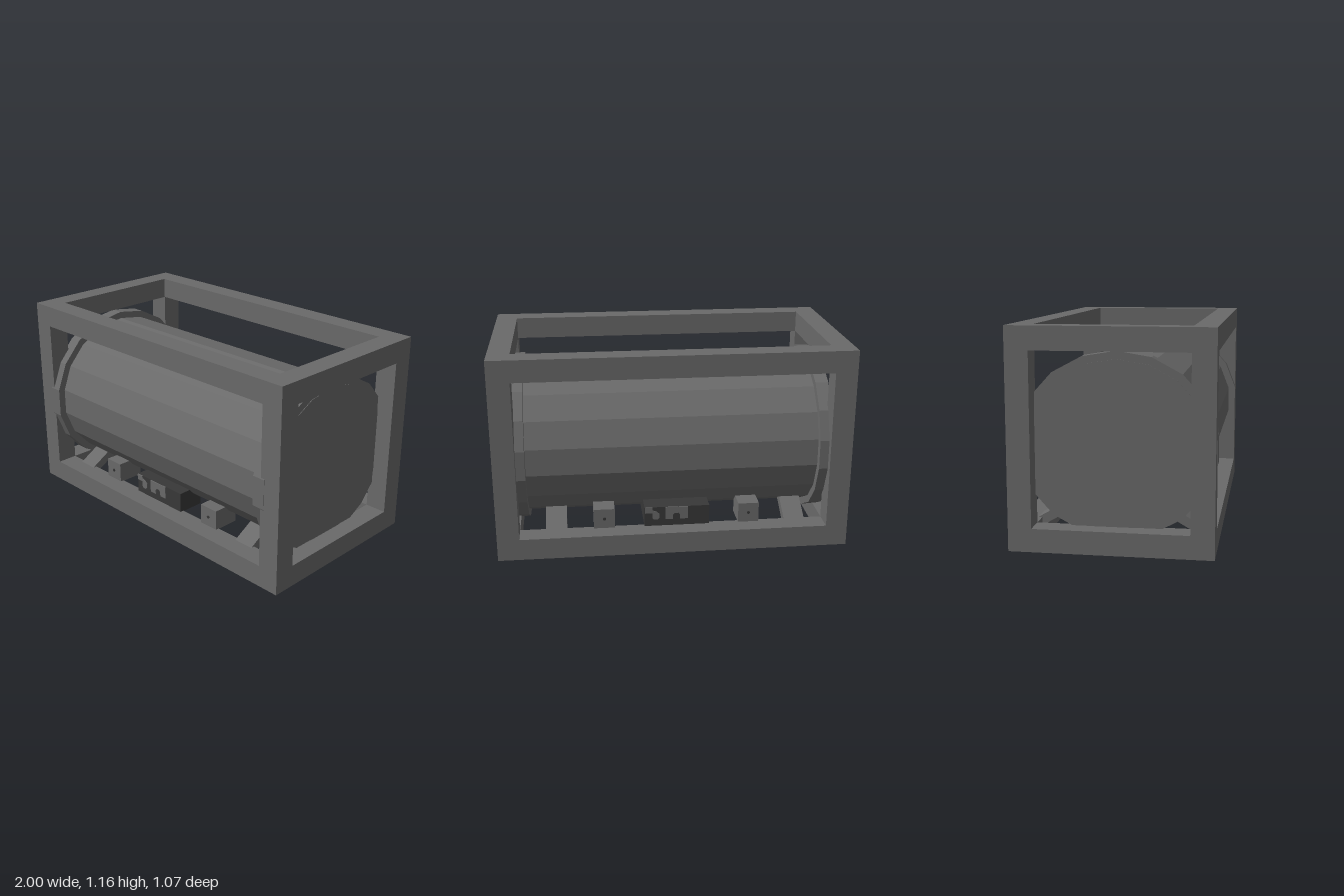
import * as THREE from 'three';

export function createModel() {
  const model = new THREE.Group();
  model.name = 'framedTank';
  const grey = new THREE.MeshStandardMaterial({ color: 0x6a6a6a });
  grey.name = 'steelGrey';
  const dark = new THREE.MeshStandardMaterial({ color: 0x383838 });
  dark.name = 'darkGrey';

  const add = (parent, name, geometry, material, x = 0, y = 0, z = 0) => {
    const mesh = new THREE.Mesh(geometry, material);
    mesh.name = name;
    mesh.position.set(x, y, z);
    parent.add(mesh);
    return mesh;
  };
  const box = (parent, name, x0, x1, y0, y1, z0, z1, material = grey) =>
    add(parent, name, new THREE.BoxGeometry(x1 - x0, y1 - y0, z1 - z0), material,
      (x0 + x1) / 2, (y0 + y1) / 2, (z0 + z1) / 2);

  // Rectangular outer frame: posts, long rails and end rails
  const H = 1.165, Z = 0.533, T = 0.124;
  const frame = new THREE.Group();
  frame.name = 'frame';
  model.add(frame);
  for (const sz of [-1, 1]) {
    const z = sz * (Z - T / 2);
    for (const sx of [-1, 1]) {
      const x = sx * (1 - T / 2);
      box(frame, 'cornerPost', x - T / 2, x + T / 2, 0, H, z - T / 2, z + T / 2);
    }
    for (const y of [0, H - T])
      box(frame, 'longRail', -1 + T, 1 - T, y, y + T, z - T / 2, z + T / 2);
  }
  for (const sx of [-1, 1])
    for (const y of [0, H - T]) {
      const x = sx * (1 - T / 2);
      box(frame, 'endRail', x - T / 2, x + T / 2, y, y + T, T - Z, Z - T);
    }

  // Faceted elliptical drum lying along x
  const drum = (length, ry, rz) => {
    const g = new THREE.CylinderGeometry(1, 1, length, 18, 1, false, Math.PI / 2);
    g.rotateZ(Math.PI / 2);
    g.scale(1, ry, rz);
    const flat = g.toNonIndexed();
    flat.computeVertexNormals();
    return flat;
  };
  add(model, 'tank', drum(1.806, 0.445, 0.48), grey, 0, 0.55, 0.02);
  for (const s of [-1, 1])
    add(model, 'endRing', drum(0.075, 0.486, 0.523), grey, s * 0.8625, 0.55, 0.02);

  // Notched valve plates for the face of the control box
  const plate = (points) => new THREE.ExtrudeGeometry(
    new THREE.Shape(points.map(([x, y]) => new THREE.Vector2(x, y))),
    { depth: 0.006, bevelEnabled: false });
  const smallPlate = plate([
    [-0.207, 0.24], [-0.207, 0.205], [-0.165, 0.205], [-0.165, 0.175], [-0.155, 0.165],
    [-0.135, 0.165], [-0.125, 0.175], [-0.125, 0.2], [-0.14, 0.212], [-0.165, 0.222], [-0.165, 0.24],
  ]);
  const archPlate = plate([
    [-0.09, 0.24], [-0.09, 0.165], [-0.045, 0.165], [-0.045, 0.192], [-0.035, 0.202],
    [-0.015, 0.202], [-0.005, 0.192], [-0.005, 0.165], [0.04, 0.165], [0.04, 0.24],
  ]);

  // Fittings along one long side; the back set is turned half round
  const fittings = (name, boxDepth) => {
    const side = new THREE.Group();
    side.name = name;
    const face = 0.43;
    // Sloping saddle braces between the bottom rail and the tank
    for (const x of [-0.69, 0.69]) {
      const brace = add(side, 'saddleBrace', new THREE.BoxGeometry(0.12, 0.05, 0.28), grey,
        x + 0.0 - 0.023, 0.156, 0.325);
      brace.rotation.x = Math.PI / 6;
    }
    // Mounting blocks with a small pin
    for (const x of [-0.44, 0.395]) {
      box(side, 'mountBlock', x - 0.06, x + 0.06, 0.12, 0.24, face - 0.16, face);
      const pin = new THREE.CylinderGeometry(0.009, 0.009, 0.006, 8);
      pin.rotateX(Math.PI / 2);
      add(side, 'blockPin', pin, dark, x, 0.182, face + 0.002);
    }
    // Control box with its plates
    box(side, 'controlBox', -0.21, 0.165, 0.12, 0.24, face - boxDepth, face, dark);
    add(side, 'valvePlate', smallPlate, grey, 0, 0, face);
    add(side, 'valvePlate', archPlate, grey, 0, 0, face);
    model.add(side);
    return side;
  };
  fittings('frontFittings', 0.16);
  const back = fittings('backFittings', 0.3);
  back.rotation.y = Math.PI;
  back.position.x = -0.045;

  return model;
}
